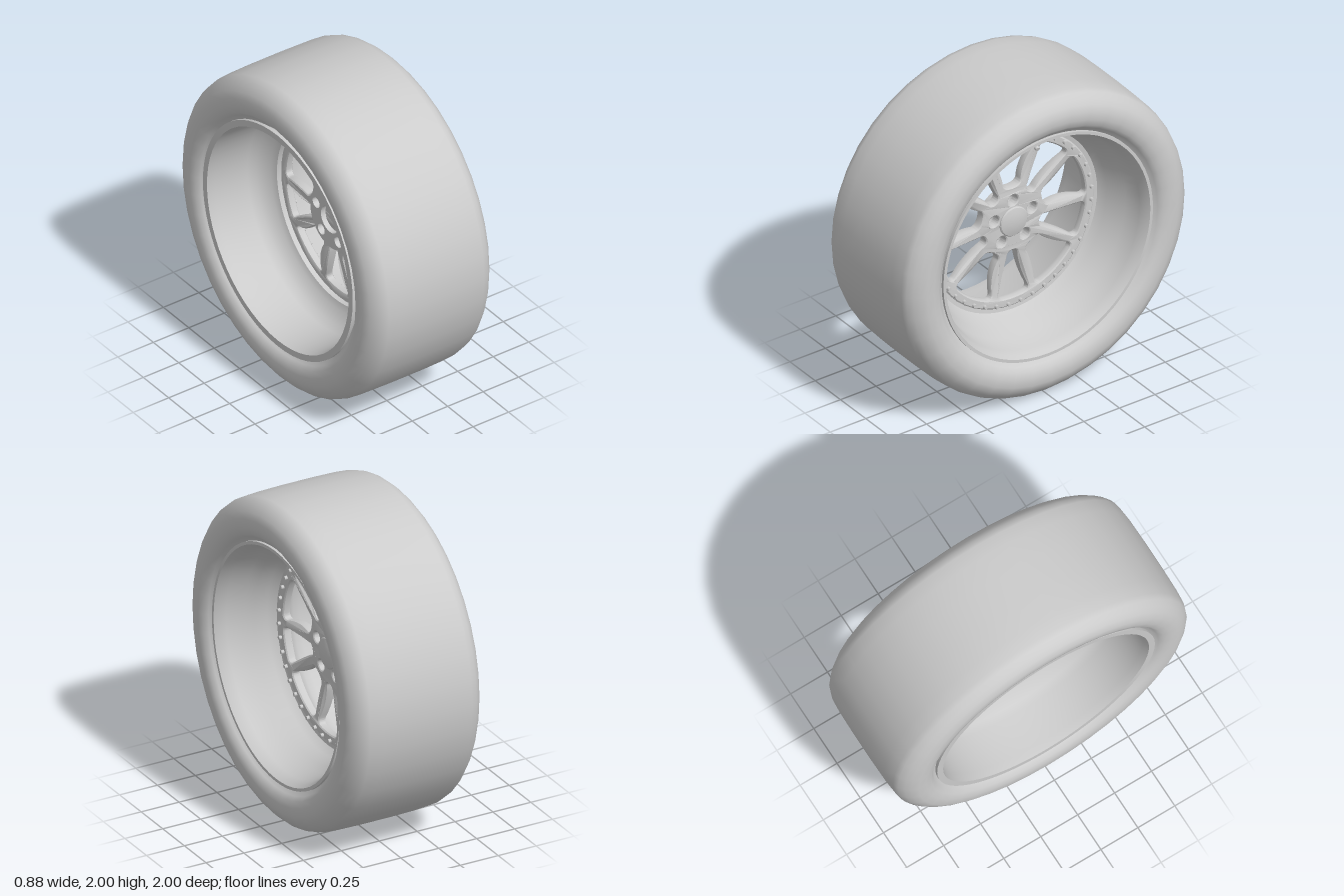
import * as THREE from 'three';
import { toCreasedNormals } from 'three/addons/utils/BufferGeometryUtils.js';

const material = new THREE.MeshStandardMaterial({ color: 0xcccccc });
const V = (x, y) => new THREE.Vector2(x, y);

function add(group, name, geometry) {
  const mesh = new THREE.Mesh(geometry, material);
  mesh.name = name;
  group.add(mesh);
  return mesh;
}

// Revolves [radius, z] pairs around the wheel axis (local z)
function revolve(profile, segments) {
  return new THREE.LatheGeometry(profile.map(p => V(p[0], p[1])), segments).rotateX(Math.PI / 2);
}

function circlePath(x, y, r) {
  return new THREE.Path().absarc(x, y, r, 0, Math.PI * 2, true);
}

// Opening between spokes: rounded at the hub, widening to the ring
function windowPath(angle, rIn, wIn, wMid, rOut, half) {
  const polar = (r, a) => V(r * Math.cos(a), r * Math.sin(a));
  const edge = polar(rOut - 0.04, half), corner = polar(rOut, half), arcEnd = polar(rOut, half - 0.08);
  const side = new THREE.Path();
  side.moveTo(rIn, 0);
  side.quadraticCurveTo(rIn, wIn, rIn + 0.05, wIn);
  side.quadraticCurveTo(0.36, wMid, edge.x, edge.y);
  side.quadraticCurveTo(corner.x, corner.y, arcEnd.x, arcEnd.y);
  const pts = side.getPoints(9);
  for (let i = 1; i <= 4; i++) pts.push(polar(rOut, (half - 0.08) * (1 - i / 4)));
  const mirrored = pts.slice(1, -1).reverse().map(p => V(p.x, -p.y));
  return new THREE.Path([...pts, ...mirrored].map(p => p.rotateAround(V(0, 0), angle)));
}

export function createModel() {
  const root = new THREE.Group();
  root.name = 'wheel';
  const wheel = new THREE.Group();
  wheel.name = 'wheelAssembly';
  wheel.rotation.y = Math.PI / 2; // local +z becomes the outer side, +x
  wheel.position.y = 1;
  root.add(wheel);

  // Tyre: mirrored half profile
  const half = [[0.705, 0.35], [0.745, 0.375], [0.765, 0.405], [0.79, 0.428], [0.83, 0.438], [0.88, 0.44],
    [0.92, 0.422], [0.95, 0.4], [0.978, 0.37], [0.99, 0.335], [0.997, 0.25], [1, 0.1]];
  const tyre = [...half.map(([r, z]) => [r, -z]), ...half.slice().reverse()];
  add(wheel, 'tyre', revolve(tyre, 40));

  // Rim: flanges, stepped outer dish, mounting seat, inner barrel
  const rim = [[0.737, -0.41], [0.737, -0.39], [0.705, -0.37], [0.7, -0.1], [0.7, 0.2], [0.71, 0.36],
    [0.737, 0.38], [0.737, 0.398], [0.718, 0.398], [0.703, 0.37], [0.69, 0.33], [0.67, 0.22],
    [0.638, 0.175], [0.62, 0.1], [0.588, 0.055], [0.56, 0.05], [0.56, -0.015], [0.6, -0.03],
    [0.655, -0.09], [0.675, -0.14], [0.688, -0.36], [0.697, -0.41], [0.737, -0.41]];
  add(wheel, 'rim', toCreasedNormals(revolve(rim, 64), 0.5));

  // Spoke disc: five forked spokes, outer ring and lug holes
  const disc = new THREE.Shape().absarc(0, 0, 0.555, 0, Math.PI * 2, false);
  const hub = new THREE.Shape().absarc(0, 0, 0.19, 0, Math.PI * 2, false);
  hub.holes.push(circlePath(0, 0, 0.085));
  for (let i = 0; i < 5; i++) {
    const a = Math.PI / 2 + i * Math.PI * 0.4;
    disc.holes.push(windowPath(a, 0.215, 0.07, 0.085, 0.515, 0.325));
    disc.holes.push(windowPath(a + Math.PI / 5, 0.19, 0.045, 0.07, 0.515, 0.235));
    const x = 0.14 * Math.cos(a), y = 0.14 * Math.sin(a);
    disc.holes.push(circlePath(x, y, 0.042));
    hub.holes.push(circlePath(x, y, 0.034));
  }
  const discGeo = new THREE.ExtrudeGeometry(disc, {
    depth: 0.03, bevelThickness: 0.018, bevelSize: 0.01, bevelSegments: 2, curveSegments: 24,
  });
  // Dish the spokes gently between hub and ring, and thin the ring
  const pos = discGeo.attributes.position;
  for (let i = 0; i < pos.count; i++) {
    const r = Math.hypot(pos.getX(i), pos.getY(i));
    const t = THREE.MathUtils.clamp((r - 0.17) / 0.35, 0, 1);
    const z = pos.getZ(i);
    pos.setZ(i, z + 0.005 - 0.018 * Math.sin(Math.PI * t) + (z < 0.015 ? 0.025 * t : 0.008 * t));
  }
  discGeo.computeVertexNormals();
  add(wheel, 'spokes', toCreasedNormals(discGeo, 0.6));

  // Hub mounting pad behind the spokes
  const pad = add(wheel, 'hubPad', toCreasedNormals(
    new THREE.ExtrudeGeometry(hub, { depth: 0.05, bevelEnabled: false, curveSegments: 24 }), 0.6));
  pad.position.z = -0.045;

  // Domed centre cap
  add(wheel, 'centreCap', toCreasedNormals(revolve(
    [[0, 0.02], [0.094, 0.02], [0.096, 0.058], [0.09, 0.064], [0.06, 0.072], [0.03, 0.076], [0, 0.077]], 32), 0.5));

  // Ring of assembly bolts
  const bolts = new THREE.Group();
  bolts.name = 'ringBolts';
  wheel.add(bolts);
  const boltGeo = new THREE.CylinderGeometry(0.011, 0.013, 0.022, 10).rotateX(Math.PI / 2);
  for (let i = 0; i < 40; i++) {
    const a = (i + 0.5) * Math.PI / 20;
    add(bolts, 'ringBolt', boltGeo).position.set(0.543 * Math.cos(a), 0.543 * Math.sin(a), 0.067);
  }

  // Valve stem slanting out of the dish
  const valve = new THREE.Group();
  valve.name = 'valve';
  valve.position.set(0, 0.648, 0.18);
  valve.rotation.x = Math.PI / 2 + 0.32;
  wheel.add(valve);
  add(valve, 'valveStem', new THREE.CylinderGeometry(0.01, 0.013, 0.1, 12)).position.y = 0.04;
  add(valve, 'valveCap', new THREE.CylinderGeometry(0.014, 0.014, 0.045, 12)).position.y = 0.1;

  return root;
}
